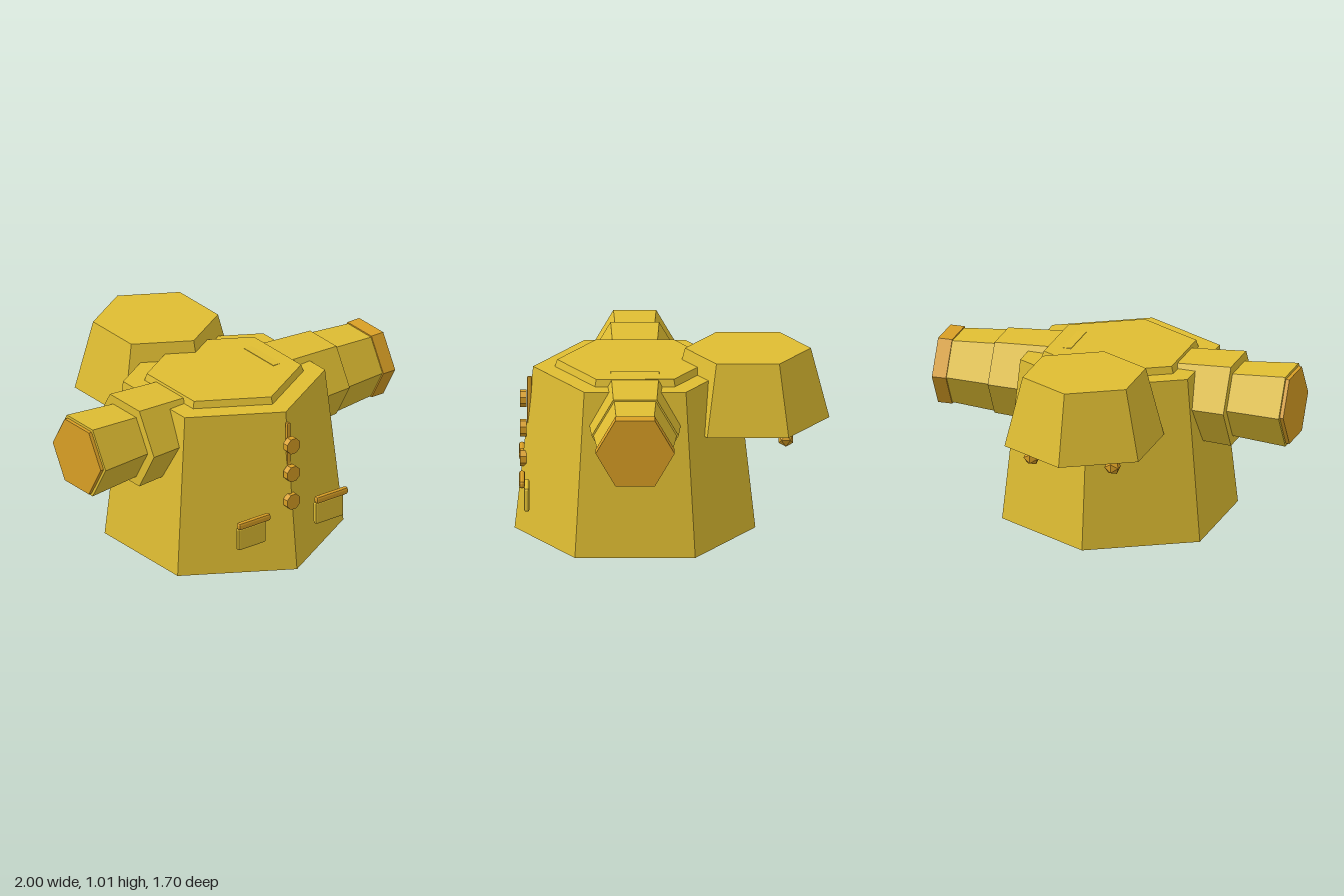
import * as THREE from 'three';
import { RoundedBoxGeometry } from 'three/addons/geometries/RoundedBoxGeometry.js';

export function createModel() {
  const model = new THREE.Group();
  model.name = 'raincoat';

  const cloth = new THREE.MeshStandardMaterial({ color: 0xdfbd32, flatShading: true });
  cloth.name = 'yellow cloth';
  const trim = new THREE.MeshStandardMaterial({ color: 0xd99f25, flatShading: true });
  trim.name = 'amber trim';

  function add(name, geometry, material, x, y, z) {
    const mesh = new THREE.Mesh(geometry, material);
    mesh.name = name;
    mesh.position.set(x, y, z);
    model.add(mesh);
    return mesh;
  }
  const hex = (top, bottom, height) => new THREE.CylinderGeometry(top, bottom, height, 6);

  // Coat body, collar and the hood hanging behind
  add('coatBody', hex(0.55, 0.65, 0.91), cloth, 0, 0.455, 0.2);
  add('collar', hex(0.42, 0.44, 0.06), cloth, 0, 0.919, 0.2);
  add('hood', hex(0.34, 0.44, 0.39), cloth, 0, 0.818, -0.41);

  // Hexagonal sleeve pieces lying along x, both sides tapering toward +x
  function sleevePiece(name, rPlus, rMinus, length, material, x) {
    add(name, hex(rPlus, rMinus, length), material, x, 0.725, 0.2).rotation.z = -Math.PI / 2;
  }
  for (const side of [-1, 1]) {
    const label = side > 0 ? 'left' : 'right';
    sleevePiece(label + 'UpperSleeve', 0.235, 0.262, 0.44, cloth, side * 0.455);
    sleevePiece(label + 'LowerSleeve', 0.2, 0.231, 0.38, cloth, side * 0.79);
    sleevePiece(label + 'Cuff', 0.2135, 0.2135, 0.08, trim, side * 0.96);

    // Pocket with its flap
    add(label + 'Pocket', new RoundedBoxGeometry(0.19, 0.135, 0.03, 1, 0.013), cloth, side * 0.263, 0.262, 0.785);
    add(label + 'PocketFlap', new RoundedBoxGeometry(0.215, 0.042, 0.032, 1, 0.013), trim, side * 0.263, 0.352, 0.81);

    // Hood drawstring with a bead
    add(label + 'Drawstring', new THREE.CylinderGeometry(0.01, 0.01, 0.06, 6), trim, side * 0.23, 0.61, -0.615);
    add(label + 'DrawstringBead', new THREE.IcosahedronGeometry(0.046, 0), trim, side * 0.23, 0.573, -0.615);
  }

  // Front fastening strip and buttons
  add('placket', new RoundedBoxGeometry(0.024, 0.55, 0.026, 1, 0.008), trim, 0, 0.58, 0.769);
  for (const y of [0.395, 0.562, 0.73]) {
    const button = add('button', new THREE.CylinderGeometry(0.047, 0.047, 0.036, 8), trim, 0, y, 0.803);
    button.rotation.set(Math.PI / 2, Math.PI / 8, 0);
  }

  return model;
}
